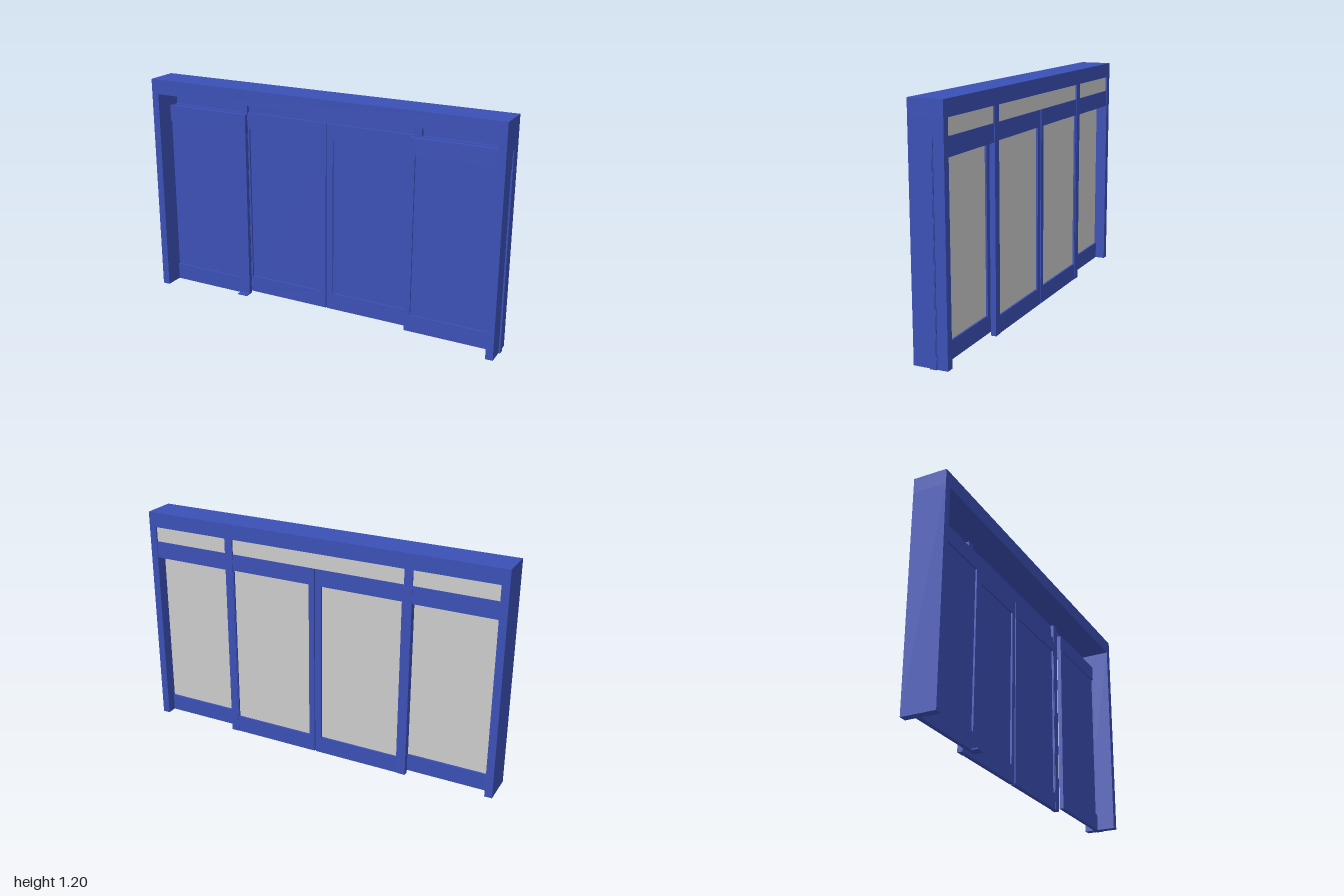
import * as THREE from 'three';

const blue = new THREE.MeshStandardMaterial({ color: 0x3b50b5 });
const grey = new THREE.MeshStandardMaterial({ color: 0xcccccc });

// Box given by its limits on each axis
function block(parent, name, [x0, x1], [y0, y1], [z0, z1], material = blue) {
  const mesh = new THREE.Mesh(new THREE.BoxGeometry(x1 - x0, y1 - y0, z1 - z0), material);
  mesh.position.set((x0 + x1) / 2, (y0 + y1) / 2, (z0 + z1) / 2);
  mesh.name = name;
  parent.add(mesh);
}

// Thin solid pane, grey on its back face only
function pane(parent, name, x, y, z) {
  block(parent, name, x, y, [z - 0.002, z + 0.002], [blue, blue, blue, blue, blue, grey]);
}

// Door leaf: two stiles, two rails and a pane
function door(name, x0, x1, glass, z) {
  const leaf = new THREE.Group();
  leaf.name = name;
  block(leaf, 'rightStile', [x0, glass[0]], [0, 1.04], z);
  block(leaf, 'leftStile', [glass[1], x1], [0, 1.04], z);
  block(leaf, 'bottomRail', glass, [0, 0.092], z);
  block(leaf, 'topRail', glass, [0.953, 1.04], z);
  pane(leaf, 'pane', glass, [0.092, 0.953], (z[0] + z[1]) / 2);
  return leaf;
}

export function createModel() {
  const model = new THREE.Group();
  model.name = 'slidingDoor';

  // Outer frame, open at the floor
  const frame = new THREE.Group();
  frame.name = 'outerFrame';
  const depth = [-0.088, 0.088];
  block(frame, 'rightJamb', [-1, -0.96], [0, 1.122], depth);
  block(frame, 'leftJamb', [0.953, 0.992], [0, 1.122], depth);
  block(frame, 'head', [-1, 0.992], [1.122, 1.202], depth);
  model.add(frame);

  // Fixed outer leaves in the middle of the frame, sliding leaves at the back
  const outer = [-0.035, -0.012];
  const inner = [-0.084, -0.06];
  model.add(
    door('rightOuterDoor', -0.99, -0.473, [-0.96, -0.52], outer),
    door('rightInnerDoor', -0.525, -0.012, [-0.478, -0.042], inner),
    door('leftInnerDoor', -0.002, 0.515, [0.029, 0.472], inner),
    door('leftOuterDoor', 0.474, 0.997, [0.505, 0.953], outer)
  );

  // Edge seals and floor guide
  block(model, 'meetingSeal', [-0.012, -0.002], [0, 1.04], [-0.075, -0.068]);
  block(model, 'endSeal', [0.99, 1], [0, 0.95], [-0.032, -0.002]);
  block(model, 'floorGuide', [-0.53, -0.473], [0, 0.006], [-0.012, 0.02]);

  // Full-height mullions, bars over the outer bays and transom panes
  const transom = new THREE.Group();
  transom.name = 'transom';
  for (const x of [[-0.53, -0.487], [0.476, 0.52]]) block(transom, 'mullion', x, [0, 1.122], [-0.087, -0.058]);
  for (const x of [[-0.96, -0.53], [0.52, 0.953]]) block(transom, 'bar', x, [0.95, 1.04], inner);
  for (const x of [[-0.96, -0.53], [-0.487, 0.476], [0.52, 0.953]]) {
    pane(transom, 'transomPane', x, [1.04, 1.122], -0.077);
  }
  model.add(transom);

  return model;
}
